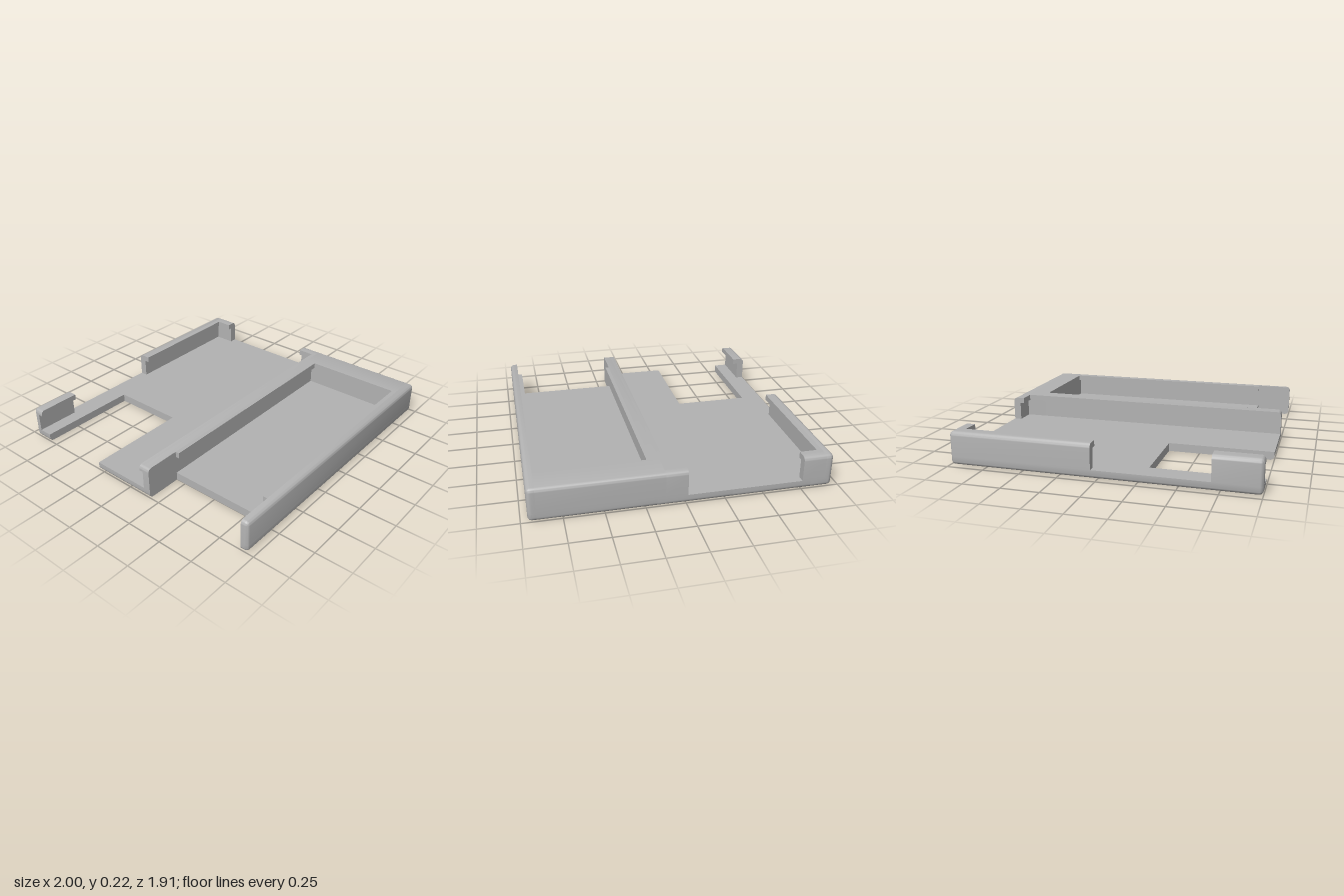
import * as THREE from 'three';
import { toCreasedNormals } from 'three/addons/utils/BufferGeometryUtils.js';

// Overall half sizes, rounding of the outer edges and the main heights
const HALF = [1, 0.111, 0.957];
const TOP = 0.222, FLOOR = 0.056, LIP = 0.182, R = 0.028, STEPS = 3;

// Grid lines along one axis: the ends plus the steps inside the rounded zones
function gridLines(a, b, axis) {
  const mid = axis === 1 ? HALF[1] : 0;
  const lines = [a, b];
  for (let k = 0; k < STEPS; k++) {
    const d = HALF[axis] - R + R * Math.tan((k / STEPS) * Math.PI / 4);
    for (const v of [mid - d, mid + d]) if (v > a + 1e-4 && v < b - 1e-4) lines.push(v);
  }
  return lines.sort((p, q) => p - q);
}

// Pull a point near the outer shell onto the rounded outer edges
function roundPoint(p) {
  const inner = p.map((v, i) => {
    const mid = i === 1 ? HALF[1] : 0, m = HALF[i] - R;
    return Math.min(mid + m, Math.max(mid - m, v));
  });
  const d = p.map((v, i) => v - inner[i]);
  const len = Math.hypot(...d);
  if (len < 1e-7) return p;
  const s = Math.max(...d.map(Math.abs)) / len;
  return inner.map((v, i) => v + d[i] * s);
}

// Box between two corners whose outer edges follow the rounded shell
function shellBox(x0, x1, y0, y1, z0, z1) {
  const lines = [gridLines(x0, x1, 0), gridLines(y0, y1, 1), gridLines(z0, z1, 2)];
  const n = lines.map((l) => l.length - 1);
  const geo = new THREE.BoxGeometry(1, 1, 1, ...n);
  const pos = geo.attributes.position;
  for (let i = 0; i < pos.count; i++) {
    const unit = [pos.getX(i), pos.getY(i), pos.getZ(i)];
    const p = unit.map((u, a) => lines[a][Math.round((u + 0.5) * n[a])]);
    pos.setXYZ(i, ...roundPoint(p));
  }
  return toCreasedNormals(geo, 0.6);
}

export function createModel() {
  const model = new THREE.Group();
  model.name = 'deviceTray';
  const grey = new THREE.MeshStandardMaterial({ color: 0xb2b2b2 });
  grey.name = 'grey plastic';

  // Add a named part made of boxes
  const part = (name, ...boxes) => {
    const group = new THREE.Group();
    group.name = name;
    boxes.forEach((b) => {
      const mesh = new THREE.Mesh(shellBox(...b), grey);
      mesh.name = name + 'Piece';
      group.add(mesh);
    });
    model.add(group);
  };

  // Floor plate in strips, leaving the two cutouts on the open side
  part('floor',
    [-1, 1, 0, FLOOR, -0.957, -0.813],
    [-0.289, 1, 0, FLOOR, -0.813, -0.297],
    [-1, 1, 0, FLOOR, -0.297, 0.179],
    [-0.754, 1, 0, FLOOR, 0.179, 0.906],
    [-1, 1, 0, FLOOR, 0.906, 0.957]);

  // Back clips: thin wall with an inward lip
  for (const [name, x0, x1] of [['backRightClip', -1, -0.698], ['backLeftClip', 0.045, 1]]) {
    part(name,
      [x0, x1, FLOOR, TOP, -0.957, -0.906],
      [x0, x1 === 1 ? 0.949 : x1, LIP, TOP, -0.906, -0.871]);
  }

  // Side wall sections on either side of the side opening
  for (const [name, z0, z1] of [['sideBackClip', -0.906, -0.757], ['sideFrontClip', -0.013, 0.127]]) {
    part(name,
      [0.949, 1, FLOOR, TOP, z0, z1],
      [0.92, 0.949, LIP, TOP, z0, z1]);
  }

  // Divider with a lip on both faces
  part('divider',
    [-1, 0.807, FLOOR, TOP, 0.127, 0.179],
    [-1, 0.92, LIP, TOP, 0.099, 0.127],
    [-0.754, 0.807, LIP, TOP, 0.179, 0.206]);

  // Solid end of the front bay
  part('endBlock', [0.807, 1, FLOOR, TOP, 0.127, 0.906]);

  // Front wall with its inward lip
  part('frontWall',
    [-1, 1, FLOOR, TOP, 0.906, 0.957],
    [-0.754, 0.807, LIP, TOP, 0.877, 0.906]);

  return model;
}
